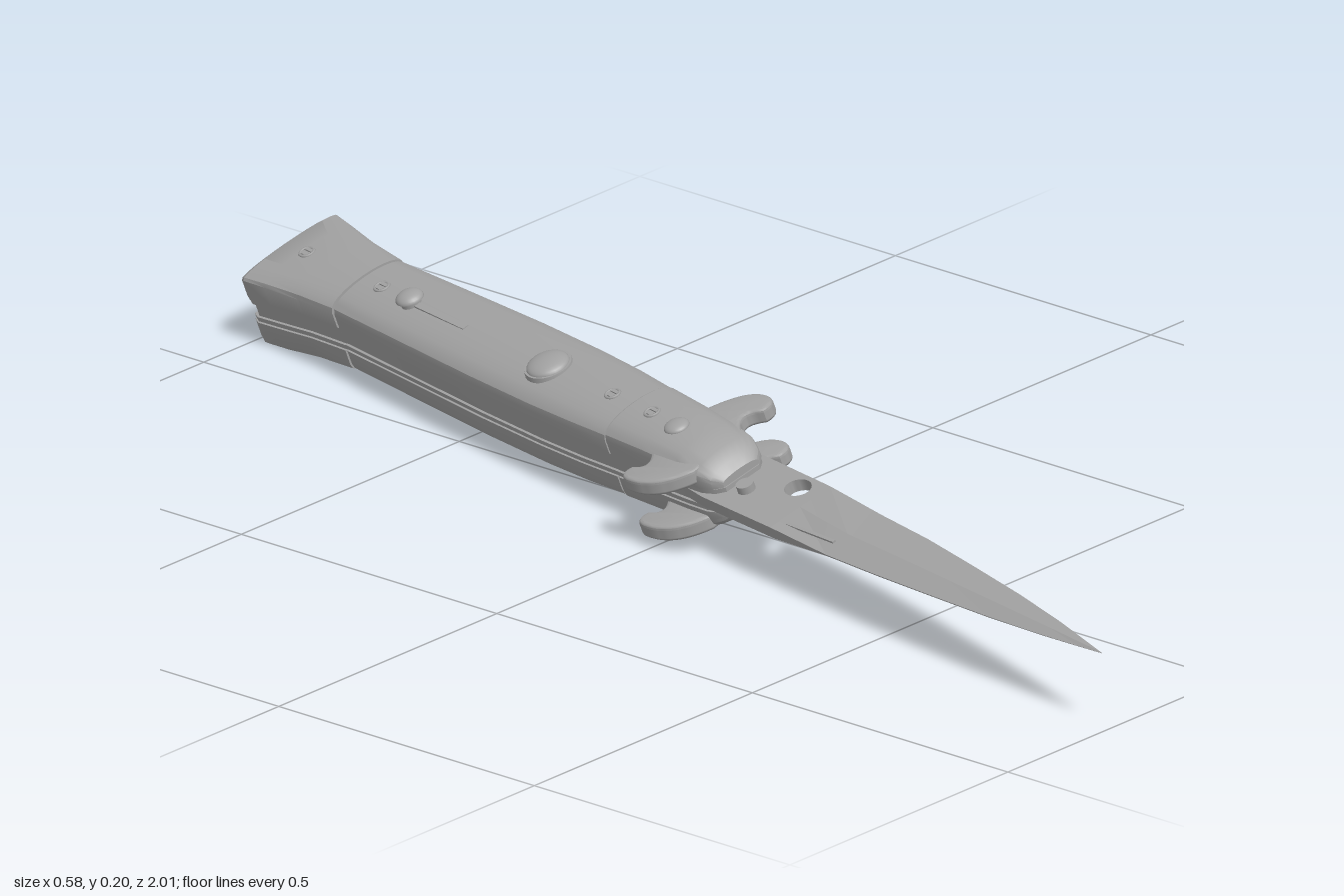
import * as THREE from 'three';
import { toCreasedNormals } from 'three/addons/utils/BufferGeometryUtils.js';

// Local knife frame: x = width, y = thickness, z = length (towards the tip)
const steel = new THREE.MeshStandardMaterial({ color: 0xa0a0a0 });
steel.name = 'steel grey';

function add(parent, name, geo, x = 0, y = 0, z = 0) {
  const m = new THREE.Mesh(geo, steel);
  m.name = name;
  m.position.set(x, y, z);
  parent.add(m);
  return m;
}

// Skin through equal-sized counter-clockwise rings placed along z, with end caps
function loft(stations, ring, crease = 0.5) {
  const pos = [], idx = [];
  const n = ring(stations[0]).length;
  for (const s of stations) for (const [x, y] of ring(s)) pos.push(x, y, s[0]);
  for (let i = 0; i < stations.length - 1; i++) for (let j = 0; j < n; j++) {
    const a = i * n + j, b = i * n + (j + 1) % n;
    idx.push(a, b, b + n, a, b + n, a + n);
  }
  const last = (stations.length - 1) * n;
  for (let j = 1; j < n - 1; j++) idx.push(0, j + 1, j, last, last + j, last + j + 1);
  const g = new THREE.BufferGeometry();
  g.setAttribute('position', new THREE.Float32BufferAttribute(pos, 3));
  g.setIndex(idx);
  return toCreasedNormals(g, crease);
}

// Domed half of the handle: station = [z, half width, edge height, crown height, x shift]
const GAP = 0.021;
function halfRing([, w, e, c, dx = 0]) {
  const r = [[-w + dx, GAP], [w + dx, GAP]];
  for (let i = 0; i <= 12; i++) {
    const a = Math.PI * i / 12;
    const u = Math.cos(a);
    r.push([u * w + dx, e + (c - e) * Math.pow(Math.sin(a), 0.8)]);
  }
  return r;
}
const rectRing = ([, x0, x1, y0, y1]) => [[x0, y0], [x1, y0], [x1, y1], [x0, y1]];

const pommel = [
  [-1.008, 0.088, 0.05, 0.06], [-0.995, 0.093, 0.056, 0.068], [-0.95, 0.087, 0.055, 0.071],
  [-0.88, 0.077, 0.05, 0.072], [-0.803, 0.071, 0.047, 0.072],
];
const scale = [
  [-0.799, 0.07, 0.045, 0.071], [-0.65, 0.073, 0.045, 0.074], [-0.45, 0.077, 0.045, 0.076],
  [-0.3, 0.077, 0.045, 0.076], [-0.2, 0.074, 0.045, 0.075], [-0.117, 0.069, 0.044, 0.073],
];
const bolster = [
  [-0.113, 0.069, 0.046, 0.075], [-0.03, 0.065, 0.045, 0.074], [0.05, 0.061, 0.042, 0.07],
  [0.095, 0.057, 0.037, 0.06], [0.118, 0.048, 0.031, 0.047], [0.13, 0.035, 0.026, 0.034],
];

// Flat outline in width/length extruded through the thickness, centred on y = 0
function plate(shape, thick, bevel = 0) {
  const g = new THREE.ExtrudeGeometry(shape, {
    depth: thick - 2 * bevel, bevelEnabled: bevel > 0, bevelSize: bevel,
    bevelThickness: bevel, bevelSegments: 3, curveSegments: 12,
  });
  g.translate(0, 0, -(thick - 2 * bevel) / 2);
  g.rotateX(Math.PI / 2);
  return toCreasedNormals(g, 0.6);
}

// S-shaped crossguard with one arm hooked back and one hooked forward
function guardShape() {
  const s = new THREE.Shape();
  s.moveTo(-0.05, -0.01);
  s.quadraticCurveTo(-0.085, 0.035, -0.101, -0.002);
  s.quadraticCurveTo(-0.118, -0.006, -0.118, 0.012);
  s.quadraticCurveTo(-0.116, 0.07, -0.055, 0.09);
  s.lineTo(0.045, 0.078);
  s.quadraticCurveTo(0.072, 0.022, 0.105, 0.062);
  s.quadraticCurveTo(0.128, 0.064, 0.126, 0.038);
  s.quadraticCurveTo(0.12, 0, 0.05, -0.02);
  s.closePath();
  return s;
}

function dome(r, h) {
  const g = new THREE.SphereGeometry(r, 24, 8, 0, Math.PI * 2, 0, Math.PI / 2);
  return g.scale(1, h / r, 1);
}

// Small slotted screw made of a collar and two raised lips
function screw(parent, x, y, z, side) {
  const s = new THREE.Group();
  s.name = 'screw';
  add(s, 'screwRim', new THREE.TorusGeometry(0.011, 0.0025, 6, 20).rotateX(Math.PI / 2));
  for (const k of [-1, 1]) add(s, 'screwHead', new THREE.BoxGeometry(0.006, 0.004, 0.016), k * 0.005, 0, 0);
  s.position.set(x, side * y, z);
  parent.add(s);
}

export function createModel() {
  const root = new THREE.Group();
  root.name = 'foldingKnife';
  const knife = new THREE.Group();
  knife.name = 'knife';
  root.add(knife);

  // Both handle halves; the lower one is the upper one turned about the long axis
  for (const side of [1, -1]) {
    const half = new THREE.Group();
    half.name = side > 0 ? 'upperHandle' : 'lowerHandle';
    half.rotation.z = side > 0 ? 0 : Math.PI;
    add(half, 'pommel', loft(pommel, halfRing));
    add(half, 'gripScale', loft(scale, halfRing));
    add(half, 'bolster', loft(bolster, halfRing));
    // Thin liner under the scale, with a narrow shadow gap
    const liner = [...pommel, ...scale, ...bolster].map(([z, w]) => [z, -w + 0.002, w - 0.002, 0.012, 0.0195]);
    add(half, 'liner', loft(liner, rectRing));
    knife.add(half);

    add(knife, 'crossguard', plate(guardShape(), 0.026, 0.006), 0, side * 0.042, 0);
    add(knife, 'pivotRivet', dome(0.02, 0.009).rotateX(side > 0 ? 0 : Math.PI), -0.008, side * 0.072, 0);
    for (const [z, y] of [[-0.94, 0.071], [-0.75, 0.072], [-0.165, 0.074], [-0.065, 0.0745]]) {
      screw(knife, -0.005, y, z, side);
    }
  }

  // Back spring and end spacer inside the slot
  const spring = [...pommel, ...scale, ...bolster].slice(1, -3).map(([z, w]) => [z, -w + 0.006, -w + 0.03, -0.0125, 0.0125]);
  add(knife, 'backSpring', loft(spring, rectRing));
  add(knife, 'endSpacer', new THREE.BoxGeometry(0.1, 0.025, 0.05), -0.025, 0, -0.95);

  // Release button and sliding safety
  add(knife, 'buttonCollar', new THREE.CylinderGeometry(0.037, 0.038, 0.008, 32), -0.01, 0.075, -0.32);
  add(knife, 'releaseButton', dome(0.034, 0.013), -0.01, 0.078, -0.32);
  add(knife, 'safetyTrack', new THREE.BoxGeometry(0.011, 0.005, 0.14), -0.01, 0.0735, -0.6);
  add(knife, 'safetyKnobStem', new THREE.CylinderGeometry(0.016, 0.016, 0.014, 20), -0.01, 0.077, -0.668);
  add(knife, 'safetyKnob', dome(0.022, 0.012), -0.01, 0.082, -0.668);

  // Blade base with a round hole near the edge
  const base = new THREE.Shape();
  base.moveTo(-0.05, -0.02);
  base.lineTo(0.05, -0.02);
  base.lineTo(0.06, 0.1);
  base.lineTo(0.06, 0.27);
  base.lineTo(-0.058, 0.27);
  base.lineTo(-0.06, 0.1);
  base.closePath();
  const hole = new THREE.Path();
  hole.absellipse(0.032, 0.225, 0.02, 0.024, 0, Math.PI * 2, true);
  base.holes.push(hole);
  add(knife, 'bladeBase', plate(base, 0.02));

  // Slender double-bevelled blade: [z, left, right, half thickness]
  const blade = [
    [0.27, -0.058, 0.06, 0.01], [0.4, -0.053, 0.059, 0.01], [0.52, -0.047, 0.055, 0.009],
    [0.64, -0.039, 0.046, 0.008], [0.78, -0.029, 0.034, 0.007], [0.9, -0.017, 0.02, 0.005],
    [0.98, -0.007, 0.008, 0.003], [1.03, -0.0005, 0.0005, 0.0005],
  ];
  const bladeRing = ([z, l, r, h]) => {
    const k = Math.min(1, (z - 0.27) / 0.13);
    const e = h * (1 - 0.9 * k), m = 0.5 * (l + r) - 0.01 * k * (r - l) / 0.11;
    return [[l, -e], [m, -h], [r, -e], [r, e], [m, h], [l, e]];
  };
  add(knife, 'blade', loft(blade, bladeRing, 0.1));

  // Stop pin and the nail groove strip on each blade face
  add(knife, 'stopPin', new THREE.CylinderGeometry(0.014, 0.014, 0.044, 20), -0.012, 0, 0.152);
  for (const side of [1, -1]) {
    const strip = add(knife, 'nailGroove', new THREE.BoxGeometry(0.006, 0.003, 0.11), -0.033, side * 0.008, 0.34);
    strip.rotation.y = 0.06;
  }

  // Lay the knife down: yaw, slight pitch and roll about its length
  const s = new THREE.Vector3(-0.233, 0.02, 0.972).normalize();
  const u0 = new THREE.Vector3(0.972, 0, 0.233).normalize();
  const n0 = new THREE.Vector3().crossVectors(s, u0);
  const roll = THREE.MathUtils.degToRad(20);
  const u = u0.clone().multiplyScalar(Math.cos(roll)).addScaledVector(n0, Math.sin(roll));
  const t = new THREE.Vector3().crossVectors(s, u);
  knife.quaternion.setFromRotationMatrix(new THREE.Matrix4().makeBasis(u, t, s));
  knife.position.set(-0.048, 0.107, 0);

  // Rest on the ground and centre
  root.updateMatrixWorld(true);
  const box = new THREE.Box3().setFromObject(root, true);
  const c = box.getCenter(new THREE.Vector3());
  knife.position.sub(new THREE.Vector3(c.x, box.min.y, c.z));
  return root;
}
